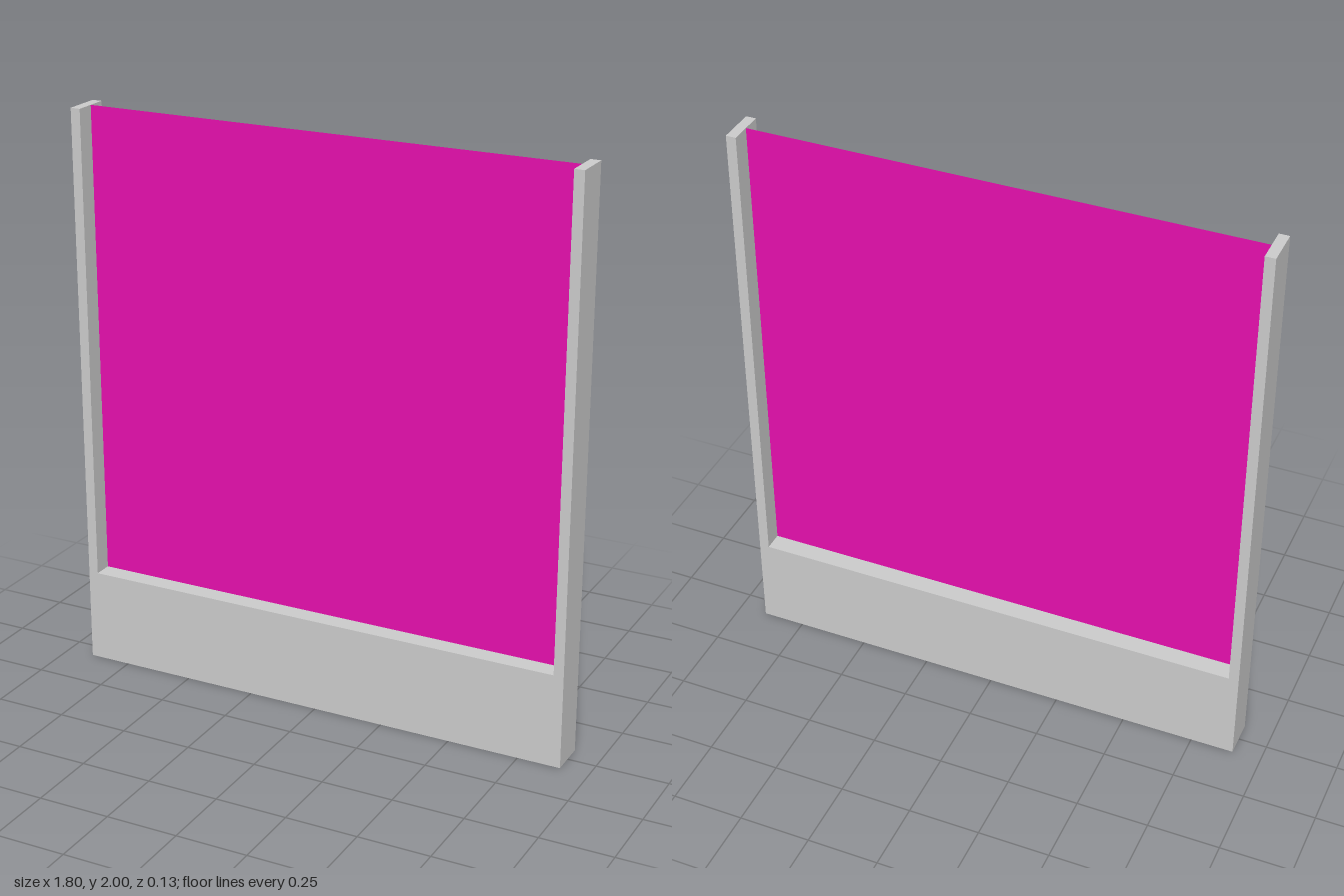
import * as THREE from 'three';

const HALF_WIDTH = 0.9, HEIGHT = 2, DEPTH = 0.134;
const HALF_OPENING = 0.865, SILL = 0.33;

export function createModel() {
  const model = new THREE.Group();
  model.name = 'framedPanel';

  // U-shaped frame: solid base with a slim post on each side
  const outline = new THREE.Shape([
    [-HALF_WIDTH, 0], [HALF_WIDTH, 0], [HALF_WIDTH, HEIGHT], [HALF_OPENING, HEIGHT],
    [HALF_OPENING, SILL], [-HALF_OPENING, SILL], [-HALF_OPENING, HEIGHT], [-HALF_WIDTH, HEIGHT],
  ].map(([x, y]) => new THREE.Vector2(x, y)));
  const frame = new THREE.Mesh(
    new THREE.ExtrudeGeometry(outline, { depth: DEPTH, bevelEnabled: false }).translate(0, 0, -DEPTH / 2),
    new THREE.MeshStandardMaterial({ color: 0xcccccc }),
  );
  frame.name = 'frame';

  // Thin coloured pane midway through the frame's depth
  const pane = new THREE.Mesh(
    new THREE.PlaneGeometry(HALF_OPENING * 2, HEIGHT - SILL),
    new THREE.MeshStandardMaterial({ color: 0xe60fae, side: THREE.DoubleSide }),
  );
  pane.name = 'pane';
  pane.position.y = (HEIGHT + SILL) / 2;

  model.add(frame, pane);
  return model;
}
